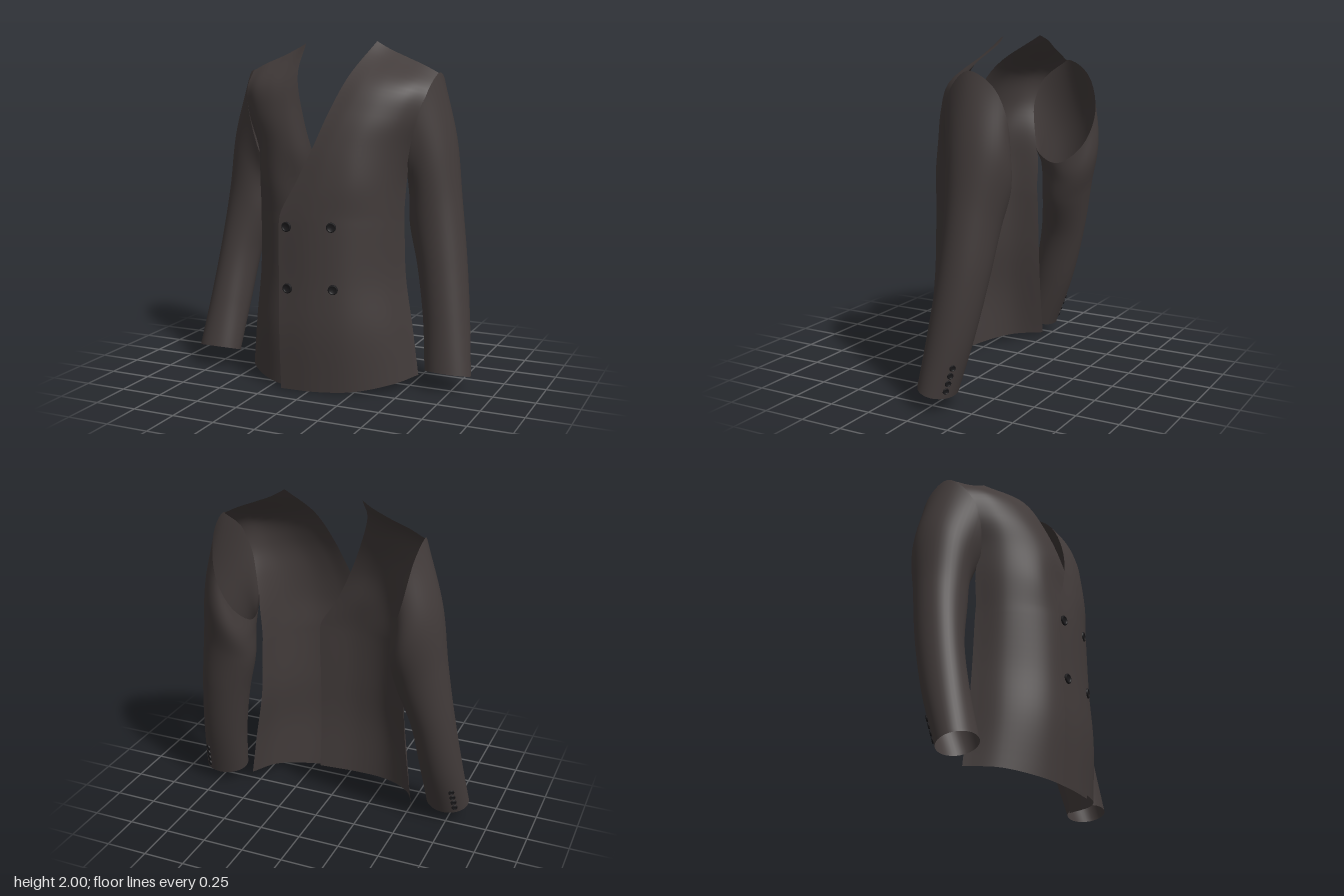
import * as THREE from 'three';

const V = (p) => new THREE.Vector3(...p);
const fabric = new THREE.MeshStandardMaterial({ color: 0x423b3a, side: THREE.DoubleSide });
fabric.name = 'charcoal fabric';
const horn = new THREE.MeshStandardMaterial({ color: 0x1b1a1c });
horn.name = 'black button';

// Smooth sheet through a grid of points; closed sheets wrap around each row
function sheet(grid, closed, flip) {
  const rows = grid.length, cols = grid[0].length, index = [];
  for (let i = 0; i < rows - 1; i++) {
    for (let j = 0; j < (closed ? cols : cols - 1); j++) {
      const k = (j + 1) % cols;
      const a = i * cols + j, b = i * cols + k, c = a + cols, d = b + cols;
      if (flip) index.push(a, c, b, b, c, d);
      else index.push(a, b, c, b, d, c);
    }
  }
  const geo = new THREE.BufferGeometry().setFromPoints(grid.flat());
  geo.setIndex(index);
  geo.computeVertexNormals();
  return geo;
}

// Resample every column of a control grid into n + 1 rows
function alongColumns(grid, n) {
  const curves = grid[0].map((_, j) => new THREE.CatmullRomCurve3(grid.map((r) => r[j])));
  return Array.from({ length: n + 1 }, (_, i) => curves.map((c) => c.getPoint(i / n)));
}

// Front panel rows from hem to shoulder, each from the front edge to the side seam
const panelRows = [
  [[-0.17, 0.0, 0.355], [0.05, 0.003, 0.345], [0.26, 0.015, 0.29], [0.45, 0.045, 0.15], [0.54, 0.06, -0.03]],
  [[-0.17, 0.35, 0.375], [0.05, 0.35, 0.365], [0.25, 0.35, 0.31], [0.425, 0.35, 0.16], [0.5, 0.35, -0.03]],
  [[-0.175, 0.65, 0.362], [0.04, 0.65, 0.355], [0.23, 0.65, 0.3], [0.39, 0.65, 0.15], [0.455, 0.65, -0.03]],
  [[-0.18, 0.96, 0.352], [0.03, 0.96, 0.347], [0.23, 0.96, 0.29], [0.385, 0.96, 0.15], [0.445, 0.96, -0.025]],
  [[-0.17, 1.04, 0.345], [0.04, 1.04, 0.342], [0.235, 1.03, 0.285], [0.385, 1.03, 0.15], [0.445, 1.03, -0.02]],
  [[-0.09, 1.2, 0.325], [0.08, 1.2, 0.324], [0.25, 1.2, 0.278], [0.39, 1.2, 0.15], [0.457, 1.2, -0.02]],
  [[0.0, 1.4, 0.288], [0.12, 1.4, 0.285], [0.26, 1.4, 0.25], [0.4, 1.39, 0.148], [0.487, 1.38, 0.01]],
  [[0.07, 1.6, 0.22], [0.19, 1.6, 0.215], [0.32, 1.59, 0.185], [0.44, 1.575, 0.12], [0.53, 1.56, 0.035]],
  [[0.14, 1.8, 0.1], [0.25, 1.78, 0.103], [0.365, 1.76, 0.087], [0.48, 1.735, 0.05], [0.573, 1.71, -0.015]],
  [[0.215, 2.0, -0.155], [0.29, 1.957, -0.165], [0.4, 1.91, -0.16], [0.51, 1.865, -0.152], [0.6, 1.82, -0.15]],
];
// Front edge of the right panel, which passes under the left one
const underEdge = [
  [-0.2, 0.015, 0.285], [-0.2, 0.35, 0.305], [-0.2, 0.65, 0.3], [-0.2, 0.96, 0.285], [-0.19, 1.04, 0.283],
  [-0.09, 1.2, 0.29], [0.005, 1.4, 0.275], [0.09, 1.6, 0.22], [0.17, 1.8, 0.115], [0.24, 1.985, -0.145],
];

// The right panel is tucked in near its front edge and a little wider at the waist
function rightRow(row, i) {
  const lower = i < 6, waist = i > 1 && lower ? 0.018 : 0;
  const [, [x1, y1, z1], chest, [x3, y3, z3], [x4, y4, z4]] = row;
  return [
    underEdge[i], [x1 + (lower ? 0 : 0.012), y1, z1 - (lower ? 0.022 : 0)], chest,
    [x3 + waist / 2, y3, z3], [x4 + waist, y4, z4],
  ];
}

function frontPanel(side) {
  const rows = side > 0 ? panelRows : panelRows.map(rightRow);
  const grid = rows.map((row) => row.map(([x, y, z]) => V([side * x, y, z])));
  const fine = alongColumns(grid, 54).map((row) => new THREE.CatmullRomCurve3(row).getPoints(28));
  return new THREE.Mesh(sheet(fine, false, side < 0), fabric);
}

// Armhole loop: front, top, back, underarm
const armhole = [
  [0.53, 1.56, 0.04], [0.573, 1.72, -0.02], [0.602, 1.825, -0.15], [0.592, 1.74, -0.3],
  [0.555, 1.52, -0.37], [0.485, 1.31, -0.315], [0.43, 1.2, -0.17], [0.462, 1.28, -0.01],
];
// Sleeve sections: inner x, outer x, front z, back z, inner y, outer y, front-to-back slope
const leftSections = [
  [0.43, 0.69, 0.003, -0.375, 1.1, 1.46, 0],
  [0.435, 0.74, -0.012, -0.322, 0.95, 1.1, 0],
  [0.495, 0.785, 0.003, -0.28, 0.7, 0.76, 0],
  [0.55, 0.825, 0.038, -0.215, 0.4, 0.42, 0.01],
  [0.585, 0.86, 0.082, -0.125, 0.1, 0.095, 0.025],
];
// The right forearm swings further forward and out
const rightSections = [
  [0.447, 0.715, 0.003, -0.375, 1.1, 1.46, 0],
  [0.47, 0.757, 0.0, -0.315, 0.95, 1.1, 0],
  [0.548, 0.795, 0.037, -0.245, 0.7, 0.76, 0],
  [0.583, 0.832, 0.105, -0.148, 0.4, 0.42, 0.015],
  [0.602, 0.864, 0.183, -0.02, 0.105, 0.105, 0.035],
];
const AROUND = 40, LENGTH = 75;

function sleeveGrid(side) {
  const loop = new THREE.CatmullRomCurve3(armhole.map(V), true);
  const rings = [Array.from({ length: AROUND }, (_, j) => loop.getPoint(j / AROUND))];
  for (const [xi, xo, zf, zb, yi, yo, slope] of side > 0 ? leftSections : rightSections) {
    rings.push(Array.from({ length: AROUND }, (_, j) => {
      const a = (j / AROUND) * Math.PI * 2, s = Math.sin(a), c = Math.cos(a);
      return V([
        (xi + xo) / 2 + (s * (xo - xi)) / 2,
        (yi + yo) / 2 + (s * (yo - yi)) / 2 + c * slope,
        (zf + zb) / 2 + (c * (zf - zb)) / 2,
      ]);
    }));
  }
  rings.flat().forEach((p) => { p.x *= side; });
  return alongColumns(rings, LENGTH);
}

// Round button with a raised rim, facing along a normal
function button(name, radius, position, normal) {
  const profile = [[1, 0], [0.98, 0.3], [0.85, 0.42], [0.68, 0.38], [0.58, 0.2], [0, 0.18]];
  const geo = new THREE.LatheGeometry(
    profile.map(([r, h]) => new THREE.Vector2(r * radius, h * radius)), 24);
  const mesh = new THREE.Mesh(geo, horn);
  mesh.name = name;
  mesh.position.copy(position);
  mesh.quaternion.setFromUnitVectors(new THREE.Vector3(0, 1, 0), normal.clone().normalize());
  return mesh;
}

export function createModel() {
  const jacket = new THREE.Group();
  jacket.name = 'jacket';

  for (const side of [1, -1]) {
    const label = side > 0 ? 'left' : 'right';
    const panel = frontPanel(side);
    panel.name = label + 'FrontPanel';
    jacket.add(panel);

    const grid = sleeveGrid(side);
    const sleeve = new THREE.Mesh(sheet(grid, true, side > 0), fabric);
    sleeve.name = label + 'Sleeve';
    jacket.add(sleeve);

    // Four cuff buttons on the outer back of the sleeve
    const column = 16, normals = sleeve.geometry.attributes.normal;
    for (let k = 0; k < 4; k++) {
      const row = LENGTH - 2 - 2 * k;
      const n = new THREE.Vector3().fromBufferAttribute(normals, row * AROUND + column);
      if (n.z > 0) n.negate();
      jacket.add(button(label + 'CuffButton', 0.018, grid[row][column], n));
    }
  }

  // Double-breasted front buttons
  for (const [x, y, z, tilt] of [
    [-0.13, 0.96, 0.351, 0], [0.135, 0.97, 0.321, 0.3],
    [-0.12, 0.605, 0.363, 0], [0.15, 0.615, 0.331, 0.3],
  ]) jacket.add(button('frontButton', 0.029, V([x, y, z]), new THREE.Vector3(tilt, 0, 1)));

  return jacket;
}
